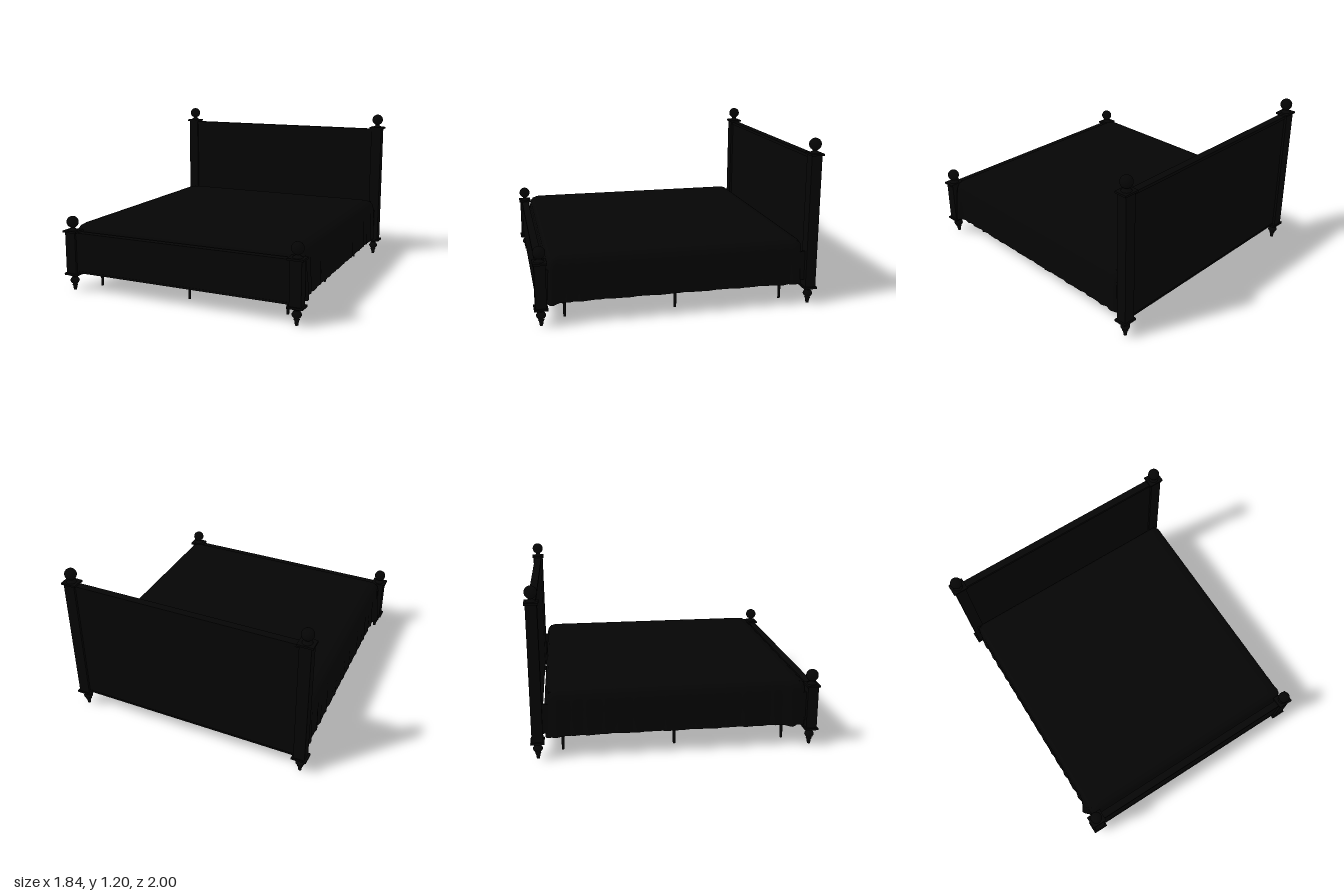
import * as THREE from 'three';

const wood = new THREE.MeshStandardMaterial({ color: 0x050505 });
const cloth = new THREE.MeshStandardMaterial({ color: 0x050505, side: THREE.DoubleSide });
const CX = -0.005; // frame centre in x
const POST_X = 0.866;

function add(parent, name, geometry, x, y, z, material = wood) {
  const mesh = new THREE.Mesh(geometry, material);
  mesh.name = name;
  mesh.position.set(x, y, z);
  parent.add(mesh);
  return mesh;
}

// box given by its bottom and top heights
function block(parent, name, w, y0, y1, d, x, z) {
  return add(parent, name, new THREE.BoxGeometry(w, y1 - y0, d), x, (y0 + y1) / 2, z);
}

function lathe(points) {
  return new THREE.LatheGeometry(points.map(([r, y]) => new THREE.Vector2(r, y)), 28);
}

// square post with turned foot, cap plates and ball finial
function makePost(name, capY) {
  const post = new THREE.Group();
  post.name = name;
  add(post, 'turnedFoot', lathe([
    [0, 0], [0.011, 0], [0.015, 0.03], [0.021, 0.04], [0.015, 0.047], [0.026, 0.056],
    [0.033, 0.068], [0.033, 0.078], [0.026, 0.09], [0.016, 0.098], [0.02, 0.104], [0.036, 0.11], [0.036, 0.12],
  ]), 0, 0, 0);
  block(post, 'basePlate', 0.11, 0.118, 0.132, 0.094, 0, 0);
  block(post, 'shaft', 0.083, 0.13, capY, 0.076, 0, 0);
  block(post, 'capPlate', 0.112, capY, capY + 0.014, 0.094, 0, 0);
  add(post, 'finialNeck', lathe([[0.036, 0], [0.032, 0.007], [0.018, 0.012], [0.016, 0.024], [0.022, 0.034]]),
    0, capY + 0.013, 0);
  add(post, 'finialBall', new THREE.SphereGeometry(0.043, 28, 20), 0, capY + 0.075, 0);
  return post;
}

// panel framed by rails between two posts
function makeBoard(name, topY, capY, z) {
  const board = new THREE.Group();
  board.name = name;
  const width = POST_X * 2 - 0.07;
  block(board, 'panel', width, 0.14, topY - 0.01, 0.042, 0, 0);
  block(board, 'topRail', width, topY - 0.022, topY, 0.053, 0, 0);
  block(board, 'bottomRail', width, 0.138, 0.152, 0.048, 0, 0);
  for (const s of [-1, 1]) {
    const post = makePost(s > 0 ? 'leftPost' : 'rightPost', capY);
    post.position.x = s * POST_X;
    board.add(post);
  }
  board.position.set(CX, 0, z);
  return board;
}

// bedspread: stacked rings of a rounded rectangle, rippling towards the hem
function bedspreadGeometry() {
  const hx = 0.888, hz = 0.909, r = 0.045, N = 320;
  const outline = new THREE.Shape();
  outline.absarc(hx - r, hz - r, r, 0, Math.PI / 2);
  outline.absarc(-hx + r, hz - r, r, Math.PI / 2, Math.PI);
  outline.absarc(-hx + r, -hz + r, r, Math.PI, Math.PI * 1.5);
  outline.absarc(hx - r, -hz + r, r, Math.PI * 1.5, Math.PI * 2);
  outline.closePath();
  const pts = outline.getSpacedPoints(N).slice(0, N);
  // [scale of outline, height, ripple strength]
  const rings = [
    [0, 0.506, 0], [0.3, 0.505, 0], [0.6, 0.502, 0], [0.8, 0.499, 0], [0.9, 0.493, 0], [0.945, 0.484, 0],
    [0.972, 0.468, 0.05], [0.988, 0.445, 0.15], [0.993, 0.41, 0.3], [0.995, 0.35, 0.5],
    [0.997, 0.28, 0.75], [0.998, 0.22, 0.9], [1, 0.16, 1],
  ];
  const pos = [], idx = [];
  rings.forEach(([s, y, k], i) => {
    pts.forEach((p, j) => {
      const side = THREE.MathUtils.smoothstep(Math.abs(p.x), hx - r, hx - 0.01);
      const end = 0.4 + 0.9 * Math.pow(Math.abs(p.y) / hz, 2);
      const ripple = Math.sin(p.y * 58 + Math.sign(p.x)) * 0.6 + Math.sin(p.y * 91 + 2) * 0.4;
      // corner folds flare outwards near the foot end
      const foldZ = p.x > 0 ? 0.87 : 0.8;
      const fold = Math.exp(-(((p.y - foldZ) / 0.03) ** 2)) * 0.03;
      const dx = Math.sign(p.x) * side * k * (ripple * end * 0.008 + fold);
      const dz = (1 - side) * k * Math.sin(p.x * 14) * 0.002;
      const hem = i === rings.length - 1 ? Math.sin(j * 0.5) * 0.002 - 0.012 * (p.y / hz) ** 8 : 0;
      pos.push(p.x * s + dx - 0.004, y + hem, p.y * s + dz + 0.007);
      if (i > 0) {
        const a = (i - 1) * N + j, b = (i - 1) * N + (j + 1) % N;
        const c = a + N, d = b + N;
        if (i > 1) idx.push(a, b, c);
        idx.push(b, d, c);
      }
    });
  });
  const g = new THREE.BufferGeometry();
  g.setAttribute('position', new THREE.Float32BufferAttribute(pos, 3));
  g.setIndex(idx);
  g.computeVertexNormals();
  // the shared centre point faces straight up
  for (let j = 0; j < N; j++) g.attributes.normal.setXYZ(j, 0, 1, 0);
  return g;
}

export function createModel() {
  const bed = new THREE.Group();
  bed.name = 'bed';

  bed.add(makeBoard('headboard', 1.08, 1.083, -0.954));
  bed.add(makeBoard('footboard', 0.438, 0.436, 0.953));

  // side rails joining the boards
  for (const s of [-1, 1]) {
    block(bed, s > 0 ? 'leftRail' : 'rightRail', 0.02, 0.18, 0.39, 1.85, CX + s * 0.865, 0);
  }

  // slab and mattress under the bedspread, carried by nine legs
  block(bed, 'base', 1.7, 0.19, 0.25, 1.68, CX, 0);
  block(bed, 'mattress', 1.71, 0.25, 0.47, 1.74, CX, 0);
  for (const x of [-0.742, 0, 0.742]) {
    for (const z of [-0.785, 0, 0.785]) {
      add(bed, 'supportLeg', new THREE.CylinderGeometry(0.012, 0.009, 0.19, 16), CX + x, 0.095, z);
    }
  }

  add(bed, 'bedspread', bedspreadGeometry(), 0, 0, 0, cloth);
  return bed;
}
